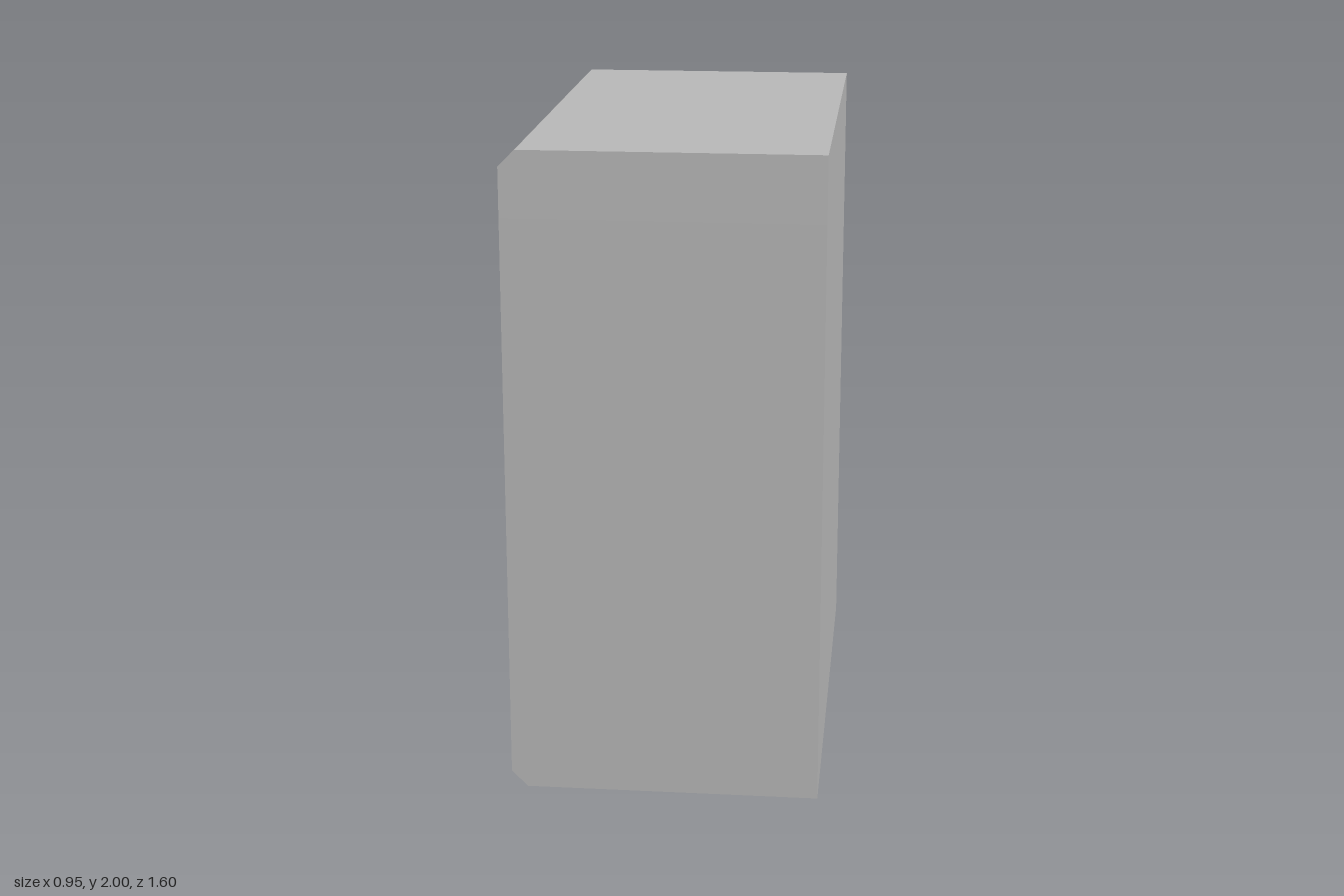
import * as THREE from 'three';

export function createModel() {
  const model = new THREE.Group();
  const grey = new THREE.MeshStandardMaterial({ color: 0xb8b8b8 });
  grey.name = 'casingGrey';
  const purple = new THREE.MeshStandardMaterial({ color: 0x807889, side: THREE.DoubleSide });
  purple.name = 'liningPurple';

  const X0 = -0.475, X1 = 0.475, BACK = 0.375; // open side, closed side, inner back
  const HEIGHT = 2, DEPTH = 1.6, WALL = 0.2, BEVEL = 0.05;

  const add = (name, geometry, material = grey) => {
    const mesh = new THREE.Mesh(geometry, material);
    mesh.name = name;
    model.add(mesh);
    return mesh;
  };
  // Box given by its minimum and maximum on each axis
  const box = (x0, x1, y0, y1, z0, z1) =>
    new THREE.BoxGeometry(x1 - x0, y1 - y0, z1 - z0)
      .translate((x0 + x1) / 2, (y0 + y1) / 2, (z0 + z1) / 2);

  // Top and bottom slabs, bevelled along the outer edge of the open side
  const slab = (outer, inner) => {
    const dir = Math.sign(inner - outer);
    const points = [
      [X0, inner], [X0, outer + dir * BEVEL], [X0 + BEVEL, outer], [X1, outer], [X1, inner],
    ].map(([x, y]) => new THREE.Vector2(x, y));
    return new THREE.ExtrudeGeometry(new THREE.Shape(points), { depth: DEPTH, bevelEnabled: false })
      .translate(0, 0, -DEPTH / 2);
  };
  add('bottomSlab', slab(0, WALL));
  add('topSlab', slab(HEIGHT, HEIGHT - WALL));

  // Walls around the compartment
  const zi = DEPTH / 2 - WALL, yTop = HEIGHT - WALL;
  add('frontWall', box(X0, X1, WALL, yTop, zi, DEPTH / 2));
  add('rearWall', box(X0, X1, WALL, yTop, -DEPTH / 2, -zi));
  add('closedSide', box(BACK, X1, WALL, yTop, -zi, zi));

  // Coloured lining: a box just inside the walls, without its face on the open side
  const gap = 0.002;
  const lining = box(X0, BACK - gap, WALL + gap, yTop - gap, -zi + gap, zi - gap);
  const index = Array.from(lining.index.array);
  index.splice(6, 6);
  lining.setIndex(index);
  lining.clearGroups();
  add('lining', lining, purple);

  // Two shelves set back from the opening
  for (const y of [0.65, 1.25]) {
    add('shelf', box(X0 + 0.09, BACK, y, y + 0.1, -zi, zi));
  }
  return model;
}
